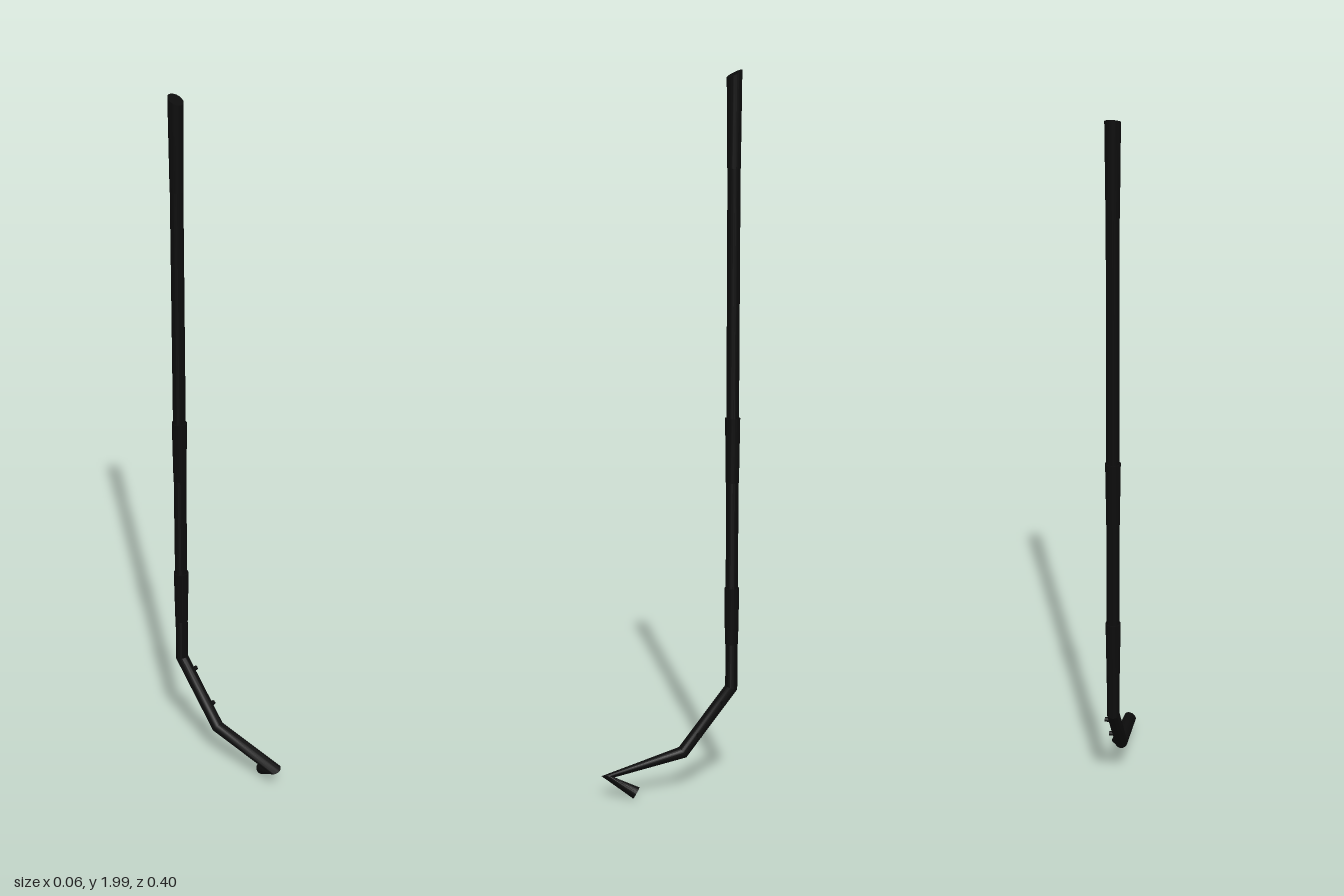
import * as THREE from 'three';
import { toCreasedNormals } from 'three/addons/utils/BufferGeometryUtils.js';

const SIDES = 24;
const R = 0.0178;

// Pipe through straight corners: one round section per corner, square to the mean direction
function pipeGeometry(points, radius) {
  const pos = [], idx = [];
  const last = points.length - 1;
  points.forEach((p, i) => {
    const n = new THREE.Vector3();
    if (i > 0) n.add(p.clone().sub(points[i - 1]).normalize());
    if (i < last) n.add(points[i + 1].clone().sub(p).normalize());
    n.normalize();
    const u = new THREE.Vector3(1, 0, 0).addScaledVector(n, -n.x).normalize();
    const v = n.clone().cross(u);
    for (let j = 0; j < SIDES; j++) {
      const t = (j / SIDES) * Math.PI * 2;
      const q = p.clone().addScaledVector(u, Math.cos(t) * radius).addScaledVector(v, Math.sin(t) * radius);
      pos.push(q.x, q.y, q.z);
    }
  });
  for (let i = 0; i < last; i++) {
    for (let j = 0; j < SIDES; j++) {
      const k = (j + 1) % SIDES;
      const a = i * SIDES + j, b = i * SIDES + k, c = a + SIDES, d = b + SIDES;
      idx.push(a, b, c, b, d, c);
    }
  }
  // End caps
  for (let j = 1; j < SIDES - 1; j++) {
    idx.push(0, j + 1, j, last * SIDES, last * SIDES + j, last * SIDES + j + 1);
  }
  const g = new THREE.BufferGeometry();
  g.setAttribute('position', new THREE.Float32BufferAttribute(pos, 3));
  g.setIndex(idx);
  return toCreasedNormals(g, 0.5);
}

export function createModel() {
  const model = new THREE.Group();
  model.name = 'hookedPole';
  const black = new THREE.MeshStandardMaterial({ color: 0x0c0c0c });

  const add = (name, geometry, x = 0, y = 0, z = 0) => {
    const mesh = new THREE.Mesh(geometry, black);
    mesh.name = name;
    mesh.position.set(x, y, z);
    model.add(mesh);
    return mesh;
  };

  const shaftX = -0.01, shaftZ = -0.178;

  // Shaft, two bends and the folded-back barb
  const path = [
    [shaftX, 1.97, shaftZ],
    [shaftX, 0.293, shaftZ],
    [-0.015, 0.115, -0.037],
    [-0.015, 0.066, 0.18],
    [0.014, 0.021, 0.107],
  ].map((p) => new THREE.Vector3(...p));
  add('shaft', pipeGeometry(path, R));

  // Sleeves around the shaft, tapering downwards; the top one is cut on a slant
  const sleeves = [
    ['topGrip', 1.74, 1.99, 0.5],
    ['middleSleeve', 0.88, 1.06, 0],
    ['lowerSleeve', 0.42, 0.58, 0],
  ];
  for (const [name, low, high, slant] of sleeves) {
    const h = high - low;
    const g = new THREE.CylinderGeometry(0.0208, R + 0.0004, h, SIDES);
    const p = g.attributes.position;
    for (let i = 0; i < p.count; i++) {
      if (p.getY(i) > 0) p.setY(i, h / 2 - p.getZ(i) * slant);
    }
    add(name, toCreasedNormals(g, 0.5), shaftX, (low + high) / 2, shaftZ);
  }

  // Two small pegs on the left side of the first bent section
  const slope = Math.atan2(0.293 - 0.115, 0.141);
  for (const [name, z, tip] of [['upperPeg', -0.148, 0.017], ['lowerPeg', -0.078, 0.014]]) {
    const y = 0.293 - (z - shaftZ) * Math.tan(slope);
    const g = new THREE.CylinderGeometry(0.0065, 0.0065, 0.025, 16).rotateZ(Math.PI / 2);
    add(name, g, tip - 0.0125, y, z);
  }

  return model;
}
